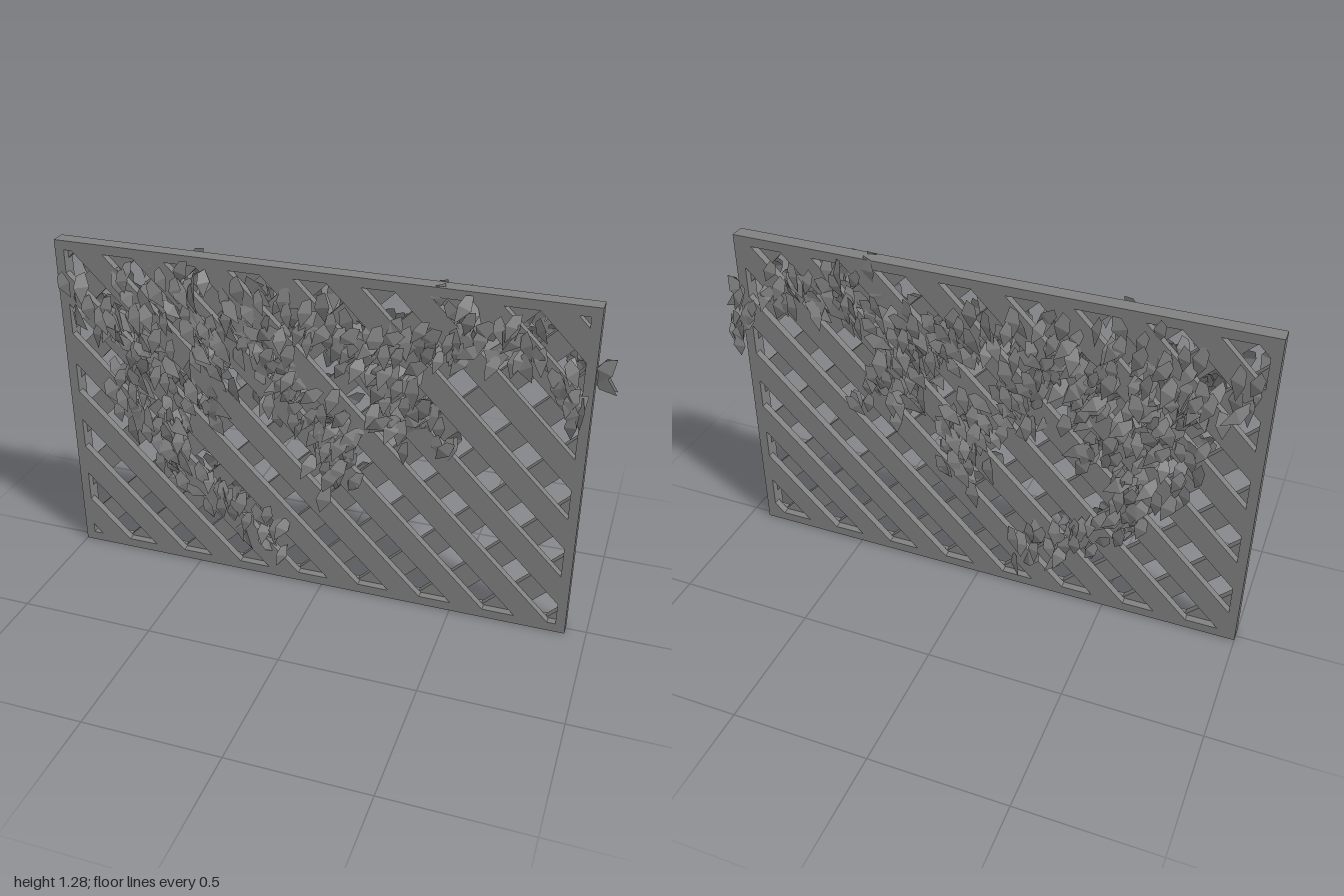
import * as THREE from 'three';
import { mergeGeometries } from 'three/addons/utils/BufferGeometryUtils.js';

const X0 = -1, X1 = 0.925, H = 1.267; // panel outline
const BAR = 0.035, DEPTH = 0.056, ZC = 0.005; // frame bar width, depth and mid plane
const PITCH = 0.238, HALF = 0.06; // slat spacing and half width, measured along x
const CX = (X0 + X1) / 2, CY = H / 2; // panel centre

const panelGrey = new THREE.MeshStandardMaterial({ color: 0x808080, flatShading: true });
const leafGrey = new THREE.MeshStandardMaterial({ color: 0x808080, flatShading: true, side: THREE.DoubleSide });

function seeded(seed) {
  return () => {
    seed = (seed * 16807) % 2147483647;
    return seed / 2147483647;
  };
}

// Keep the part of a polygon where axis * sign <= limit * sign
function clip(points, axis, limit, sign) {
  const out = [];
  points.forEach((a, i) => {
    const b = points[(i + 1) % points.length];
    const da = (a[axis] - limit) * sign, db = (b[axis] - limit) * sign;
    if (da <= 0) out.push(a);
    if (da * db < 0) out.push(a.clone().lerp(b, da / (da - db)));
  });
  return out;
}

// One layer of diagonal slats, cut off at the inside of the frame
function slatLayer(name, slope, shift, z) {
  const parts = [];
  for (let k = -8; k <= 8; k++) {
    const c = CX - slope * CY + (k + shift) * PITCH; // x where the slat meets y = 0
    let p = [
      new THREE.Vector2(c - HALF, 0), new THREE.Vector2(c + HALF, 0),
      new THREE.Vector2(c + HALF + slope * H, H), new THREE.Vector2(c - HALF + slope * H, H),
    ];
    p = clip(p, 'x', X0 + BAR, -1);
    p = clip(p, 'x', X1 - BAR, 1);
    p = clip(p, 'y', BAR, -1);
    p = clip(p, 'y', H - BAR, 1);
    if (p.length < 3) continue;
    parts.push(new THREE.ExtrudeGeometry(new THREE.Shape(p), { depth: DEPTH / 2, bevelEnabled: false }));
  }
  const mesh = new THREE.Mesh(mergeGeometries(parts), panelGrey);
  mesh.name = name;
  mesh.position.z = z;
  return mesh;
}

// Angular pointed leaf, bent once across its width
function leafGeometry() {
  const g = new THREE.BufferGeometry();
  g.setAttribute('position', new THREE.Float32BufferAttribute([
    0.12, 0.5, -0.06, -0.16, 0.36, -0.04, -0.26, -0.05, 0.05,
    0, -0.6, -0.06, 0.26, 0.02, 0.05,
  ], 3));
  g.setIndex([0, 1, 2, 0, 2, 4, 2, 3, 4]);
  return g;
}

// Linear interpolation in a list of [position, value]
function lookUp(table, t) {
  const i = Math.max(1, table.findIndex((b) => b[0] > t));
  const [a, b] = [table[i - 1], table[i]];
  return THREE.MathUtils.lerp(a[1], b[1], (t - a[0]) / (b[0] - a[0]));
}

// How far the foliage bulges from the panel, across and up the panel
const BULGE_X = [[-1.1, 0.08], [-0.85, 0.1], [-0.6, 0.135], [-0.42, 0.075], [-0.25, 0.05], [0, 0.075],
  [0.2, 0.105], [0.45, 0.085], [0.58, 0.065], [0.8, 0.155], [1.05, 0.11]];
const BULGE_Y = [[0, 0.055], [0.3, 0.06], [0.5, 0.085], [0.8, 0.13], [1.0, 0.16], [1.1, 0.14], [1.25, 0.06], [1.5, 0.04]];

// Creeper strands: path points, sideways spread, leaf count, depth from panel (0) to outer face (1)
const STRANDS = [
  { path: [[-0.86, 1.06], [-0.7, 0.95], [-0.68, 0.72], [-0.6, 0.52]], spread: 0.15, count: 85, inner: 0 },
  { path: [[-0.6, 0.5], [-0.5, 0.36], [-0.33, 0.27], [-0.18, 0.15]], spread: 0.1, count: 38, inner: 0.2 },
  { path: [[-0.75, 1.1], [-0.4, 1.07], [0, 1.03], [0.4, 1.07]], spread: 0.15, count: 100, inner: 0 },
  { path: [[0.35, 1.08], [0.5, 1.13], [0.65, 1.12]], spread: 0.12, count: 34, inner: 0 },
  { path: [[0.62, 1.13], [0.78, 1.08], [0.95, 0.92]], spread: 0.1, count: 22, inner: 0.85 },
  { path: [[-0.45, 1], [-0.4, 0.85], [-0.5, 0.64]], spread: 0.16, count: 48, inner: 0 },
  { path: [[-0.2, 0.98], [-0.12, 0.8], [0.06, 0.66], [0.09, 0.47]], spread: 0.14, count: 72, inner: 0 },
  { path: [[0.12, 1], [0.25, 0.85], [0.42, 0.7]], spread: 0.15, count: 55, inner: 0 },
];

function foliageSide() {
  const rand = seeded(2024);
  const spread = () => rand() + rand() - 1;
  const leaf = leafGeometry(), leaves = [];
  const o = new THREE.Object3D();
  const addLeaf = (x, y, z) => {
    o.position.set(x, y, z);
    // Leaves left of the middle lean one way, the others the opposite way
    const lean = x < -0.2 || x > 0.7 ? 0.35 : -0.35;
    o.rotation.set(-0.1 + 0.45 * spread(), 0.7 * spread(), lean + 0.9 * spread());
    o.scale.setScalar(0.08 + 0.03 * rand());
    o.updateMatrix();
    leaves.push(leaf.clone().applyMatrix4(o.matrix));
  };
  for (const s of STRANDS) {
    const curve = new THREE.CatmullRomCurve3(s.path.map(([x, y]) => new THREE.Vector3(x, y, 0)));
    for (let i = 0; i < s.count; i++) {
      const p = curve.getPoint((i + rand()) / s.count);
      const x = Math.min(p.x + s.spread * spread(), 0.97);
      const y = Math.min(p.y + s.spread * spread(), 1.23);
      const reach = Math.min(lookUp(BULGE_X, x), lookUp(BULGE_Y, y));
      addLeaf(x, y, THREE.MathUtils.lerp(0.02, reach, s.inner + (1 - s.inner) * rand()));
    }
  }
  // Leaves beside the panel edge
  for (const y of [1.0, 1.04]) addLeaf(0.95, y, 0.005);
  return mergeGeometries(leaves);
}

export function createModel() {
  const model = new THREE.Group();
  model.name = 'trellisWithCreeper';

  // Frame around the panel
  const outline = new THREE.Shape([[X0, 0], [X1, 0], [X1, H], [X0, H]].map((p) => new THREE.Vector2(...p)));
  outline.holes.push(new THREE.Path([
    [X0 + BAR, BAR], [X0 + BAR, H - BAR], [X1 - BAR, H - BAR], [X1 - BAR, BAR],
  ].map((p) => new THREE.Vector2(...p))));
  const frame = new THREE.Mesh(new THREE.ExtrudeGeometry(outline, { depth: DEPTH, bevelEnabled: false }), panelGrey);
  frame.name = 'frame';
  frame.position.z = ZC - DEPTH / 2;
  model.add(frame);

  // Crossing slats in two layers, flush with the frame
  model.add(slatLayer('frontSlats', -1, 0, ZC));
  model.add(slatLayer('backSlats', 1, 0.5, ZC - DEPTH / 2));

  // Foliage on the front, mirrored to the back
  const geometry = foliageSide();
  for (const side of [1, -1]) {
    const foliage = new THREE.Mesh(geometry, leafGrey);
    foliage.name = side > 0 ? 'frontLeaves' : 'backLeaves';
    foliage.scale.z = side;
    model.add(foliage);
  }
  return model;
}
